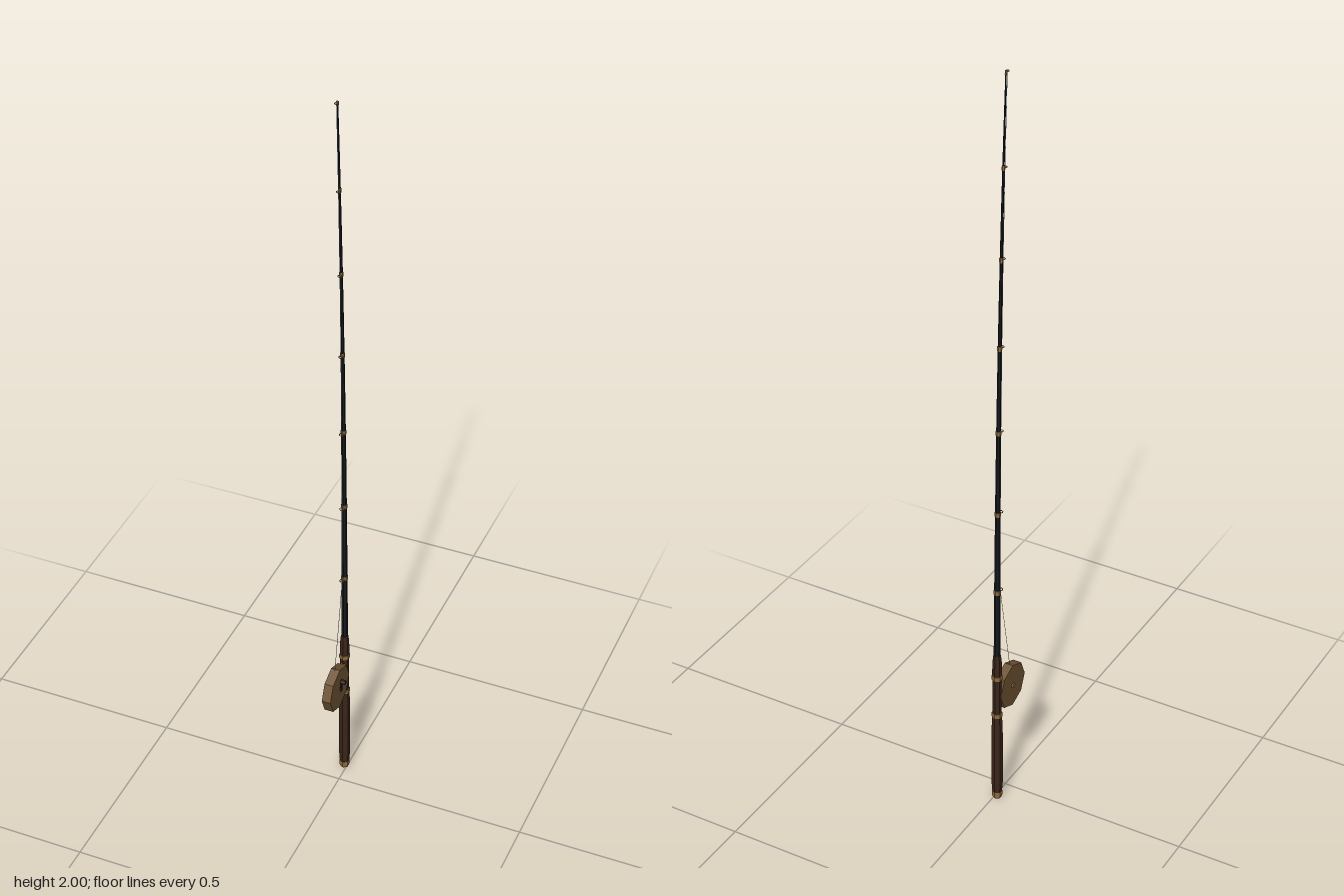
import * as THREE from 'three';

const mat = (color) => new THREE.MeshStandardMaterial({ color, flatShading: true });
const BROWN = mat(0x3a2519), BRASS = mat(0x8a6a3c), WOOD = mat(0x6b5030), BLACK = mat(0x15171c);
const DARK = mat(0x241a14), LINE = mat(0x9fb4bd);

const CX = -0.007;
// centre line of the rod in z, curving forward towards the tip
const bend = (y) => -0.054 + 0.046 * Math.pow(Math.max(y, 0) / 2, 2.5);
const rodRadius = (y) => THREE.MathUtils.lerp(0.0085, 0.0016, (y - 0.45) / 1.55);

export function createModel() {
  const group = new THREE.Group();
  const add = (name, geometry, material, x = 0, y = 0, z = 0) => {
    const mesh = new THREE.Mesh(geometry, material);
    mesh.name = name;
    mesh.position.set(x, y, z);
    group.add(mesh);
    return mesh;
  };
  // six-sided turned section that follows the rod's curve
  const turned = (name, profile, material) => {
    const g = new THREE.LatheGeometry(profile.map(([r, y]) => new THREE.Vector2(r, y)), 6);
    const p = g.attributes.position;
    for (let i = 0; i < p.count; i++) p.setZ(i, p.getZ(i) + bend(p.getY(i)));
    g.computeVertexNormals();
    return add(name, g, material, CX);
  };
  const band = (name, y0, y1, r) => turned(name, [[0, y0], [r, y0], [r, y1], [0, y1]], BRASS);

  // handle
  turned('pommel', [[0, 0], [0.011, 0], [0.0135, 0.006], [0.0135, 0.02], [0, 0.02]], BRASS);
  turned('grip', [[0, 0.018], [0.0125, 0.02], [0.0145, 0.05], [0.0145, 0.2], [0.0125, 0.262], [0, 0.262]], BROWN);
  turned('reelSeat', [[0, 0.26], [0.0115, 0.26], [0.0115, 0.39], [0, 0.39]], BROWN);
  band('lowerSeatBand', 0.26, 0.272, 0.0138);
  band('upperSeatBand', 0.376, 0.388, 0.0138);
  turned('foregrip', [[0, 0.388], [0.0125, 0.39], [0.0115, 0.43], [0.0095, 0.45], [0, 0.45]], BROWN);

  // tapering blank
  const blank = [[0, 0.445]];
  for (let i = 0; i <= 14; i++) {
    const y = 0.445 + (1.998 - 0.445) * i / 14;
    blank.push([rodRadius(y), y]);
  }
  blank.push([0, 1.998]);
  turned('rodBlank', blank, BLACK);

  // line guides, each a ring held by a small wrap
  const path = [new THREE.Vector3(CX, 0.37, 0.012)];
  for (let i = 0; i < 7; i++) {
    const y = 0.64 + i * 0.2262;
    const size = 0.0065 - i * 0.0004;
    const z = bend(y) + rodRadius(y) + size;
    const ring = add('lineGuide', new THREE.TorusGeometry(size, 0.0012, 4, 8), BRASS, CX, y, z);
    ring.rotation.x = Math.PI / 2;
    band('guideWrap', y - 0.006, Math.min(y + 0.006, 2), rodRadius(y) + 0.0012);
    path.push(new THREE.Vector3(CX, y, z));
  }

  // fishing line, straight from guide to guide
  for (let i = 1; i < path.length; i++) {
    const segment = new THREE.LineCurve3(path[i - 1], path[i]);
    add('fishingLine', new THREE.TubeGeometry(segment, 1, 0.0007, 4), LINE);
  }

  // reel: eight-sided drum with its axle across the rod
  const RY = 0.322, RZ = 0.006;
  const disc = (name, r, width, sides, material, x, y = RY, z = RZ) => {
    const g = new THREE.CylinderGeometry(r, r, width, sides);
    g.rotateZ(Math.PI / 2);
    return add(name, g, material, x, y, z);
  };
  disc('reelDrum', 0.061, 0.0235, 8, WOOD, CX);
  disc('reelCap', 0.007, 0.004, 6, BRASS, -0.0205);
  disc('crankAxle', 0.004, 0.007, 6, DARK, 0.007);
  add('crankArm', new THREE.BoxGeometry(0.003, 0.034, 0.006), DARK, 0.009, RY + 0.012, RZ);
  disc('crankKnob', 0.006, 0.012, 6, DARK, 0.0145, RY + 0.026, RZ);
  add('reelFoot', new THREE.BoxGeometry(0.012, 0.08, 0.008), BRASS, CX, RY, -0.042);

  return group;
}
